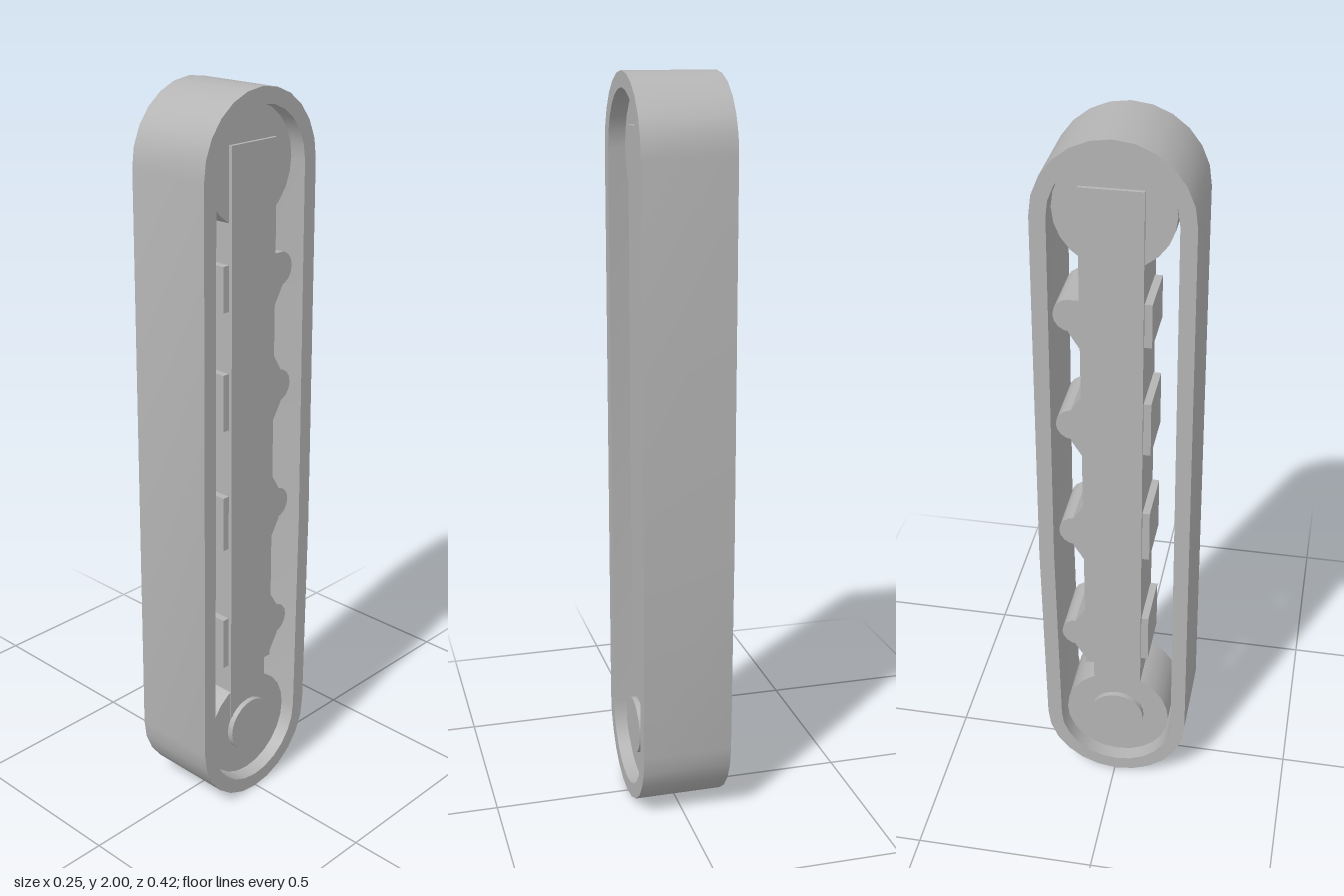
import * as THREE from 'three';
import { toCreasedNormals } from 'three/addons/utils/BufferGeometryUtils.js';

export function createModel() {
  const group = new THREE.Group();
  const grey = new THREE.MeshStandardMaterial({ color: 0xb4b4b4 });
  grey.name = 'grey';

  const add = (geometry, name) => {
    const mesh = new THREE.Mesh(geometry, grey);
    mesh.name = name;
    group.add(mesh);
    return mesh;
  };

  // Side profile (u = -z, v = y) extruded across x, centred on x = 0
  const extrudeX = (shape, halfWidth, name) => {
    let g = new THREE.ExtrudeGeometry(shape, { depth: halfWidth * 2, bevelEnabled: false });
    g.translate(0, 0, -halfWidth);
    g.rotateY(Math.PI / 2);
    g = toCreasedNormals(g, 0.5);
    return add(g, name);
  };

  // Disc or roller with its axis along x
  const disc = (radius, halfWidth, y, z, segments, name) => {
    const g = new THREE.CylinderGeometry(radius, radius, halfWidth * 2, segments);
    g.rotateZ(Math.PI / 2);
    g.translate(0, y, z);
    return add(g, name);
  };

  // Loop around two pulleys, very slightly bowed on the back run
  const loop = (inset) => {
    const pts = [];
    const n = 12;
    for (let i = 0; i <= n; i++) {
      const a = (i / n) * Math.PI;
      pts.push(new THREE.Vector2(Math.cos(a) * (0.199 - inset), 1.8 + Math.sin(a) * (0.2 - inset)));
    }
    for (let i = 0; i <= n; i++) {
      const a = Math.PI + (i / n) * Math.PI;
      pts.push(new THREE.Vector2(-0.004 + Math.cos(a) * (0.204 - inset), 0.205 + Math.sin(a) * (0.205 - inset)));
    }
    pts.push(new THREE.Vector2(0.207 - inset, 0.8));
    return pts;
  };
  const belt = new THREE.Shape(loop(0));
  belt.holes.push(new THREE.Path(loop(0.041)));
  extrudeX(belt, 0.123, 'belt');

  // Central beam with tapered roller brackets along its back edge
  const rollerHeights = [0.495, 0.86, 1.205, 1.525];
  const beam = new THREE.Shape();
  beam.moveTo(-0.07, 0.25);
  beam.lineTo(0.066, 0.25);
  beam.lineTo(0.066, 0.39);
  beam.lineTo(0.09, 0.39);
  for (const y of rollerHeights) {
    const top = y > 1.5 ? 0.046 : 0.09;
    beam.lineTo(0.09, y - 0.09);
    beam.lineTo(0.118, y - 0.045);
    beam.lineTo(0.118, y + 0.045);
    beam.lineTo(0.09, y + top);
  }
  beam.lineTo(0.09, 1.865);
  beam.lineTo(-0.07, 1.865);
  extrudeX(beam, 0.09, 'beam');

  // Rollers pressing on the back run of the belt
  for (const y of rollerHeights) disc(0.045, 0.086, y, -0.113, 16, 'roller');

  // Low pads on the front edge of the beam
  for (const [low, high] of [[0.42, 0.57], [0.785, 0.94], [1.13, 1.285], [1.45, 1.57]]) {
    const pad = new THREE.BoxGeometry(0.16, high - low, 0.03);
    pad.translate(0, (low + high) / 2, 0.075);
    add(pad, 'pad');
  }

  // End pulleys and the lower hub
  disc(0.151, 0.08, 1.807, -0.004, 24, 'upperPulley');
  disc(0.151, 0.088, 0.2, 0.003, 24, 'lowerPulley');
  disc(0.078, 0.105, 0.205, 0.003, 24, 'hub');

  return group;
}
